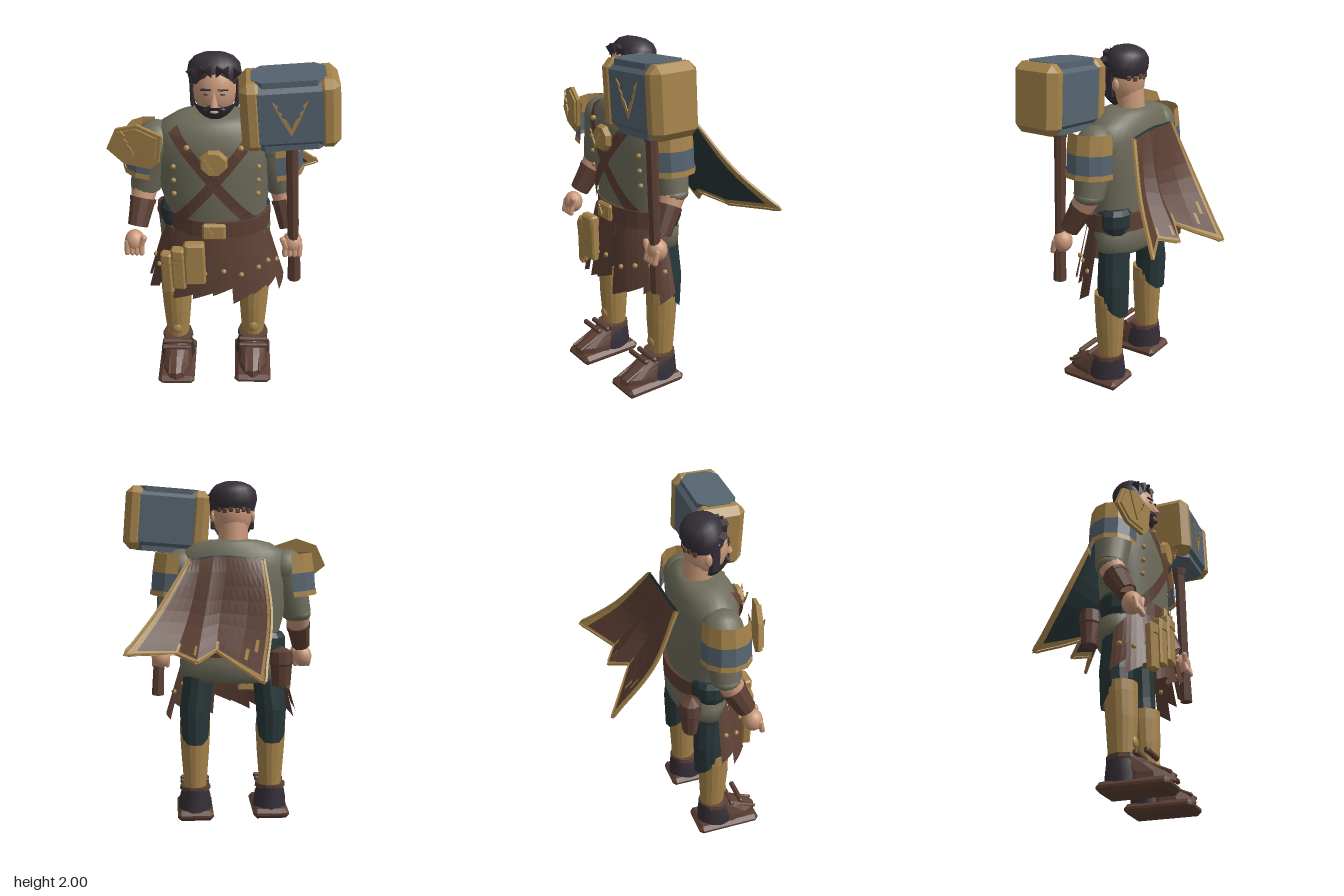
import * as THREE from 'three';
import { ConvexGeometry } from 'three/addons/geometries/ConvexGeometry.js';

const mat = (name, color, flatShading = false) => {
  const m = new THREE.MeshStandardMaterial({ color, flatShading, side: THREE.DoubleSide });
  m.name = name;
  return m;
};
const M = {
  gold: mat('gold', 0xa5834a, true), steel: mat('steel', 0x566470, true), brown: mat('leather', 0x5c3f33, true),
  olive: mat('tunic', 0x6e6c5b), hair: mat('hair', 0x352f37), teal: mat('trousers', 0x273638, true),
  skin: mat('skin', 0xc9987a),
};
const V = (a) => new THREE.Vector3(...a);
const CX = -0.04;

export function createModel() {
  const root = new THREE.Group();
  root.name = 'hammerBearer';
  const add = (name, geo, material, pos = [0, 0, 0], rot = [0, 0, 0], parent = root) => {
    const m = new THREE.Mesh(geo, material);
    m.name = name;
    m.position.set(...pos);
    m.rotation.set(...rot);
    parent.add(m);
    return m;
  };
  const ball = (name, r, material, pos, scale = [1, 1, 1], parent = root) => {
    const m = add(name, new THREE.SphereGeometry(r, 16, 10), material, pos, [0, 0, 0], parent);
    m.scale.set(...scale);
  };
  // Tapered rod from a to b
  const rod = (name, a, b, ra, rb, material, sides = 12) => {
    const d = V(b).sub(V(a));
    const m = add(name, new THREE.CylinderGeometry(rb, ra, d.length(), sides), material);
    m.position.copy(V(a).add(V(b)).multiplyScalar(0.5));
    m.quaternion.setFromUnitVectors(new THREE.Vector3(0, 1, 0), d.normalize());
  };
  // Box with every edge cut by c
  const chamferBox = (w, h, d, c) => {
    const p = [];
    for (const x of [-w / 2, w / 2]) for (const y of [-h / 2, h / 2]) for (const z of [-d / 2, d / 2]) {
      const [i, j, k] = [x, y, z].map((n) => n - Math.sign(n) * c);
      p.push(V([x, j, k]), V([i, y, k]), V([i, j, z]));
    }
    return new ConvexGeometry(p);
  };
  // Skin over elliptical sections [y, cx, cz, rx, rz], bottom to top
  const loft = (sections, n = 24) => {
    const pos = [], idx = [];
    sections.forEach(([y, cx, cz, rx, rz], i) => {
      for (let j = 0; j < n; j++) {
        const t = (j / n) * Math.PI * 2;
        pos.push(cx + rx * Math.cos(t), y, cz + rz * Math.sin(t));
        if (i < sections.length - 1) {
          const a = i * n + j, b = i * n + (j + 1) % n;
          idx.push(a, a + n, b, b, a + n, b + n);
        }
      }
    });
    const g = new THREE.BufferGeometry();
    g.setAttribute('position', new THREE.Float32BufferAttribute(pos, 3));
    g.setIndex(idx);
    g.computeVertexNormals();
    return g;
  };
  const plate = (pts, depth) => new THREE.ExtrudeGeometry(new THREE.Shape(pts.map(([x, y]) => new THREE.Vector2(x, y))), { depth, bevelEnabled: false });
  // Jagged chevron ornament
  const chevron = (s) => {
    const l = [[-1, 1], [-0.66, 0.72], [-0.74, 0.5], [-0.48, 0.3], [-0.52, 0.1], [-0.24, -0.1]];
    const r = l.map(([x, y]) => [-x, y]).reverse();
    return plate([...l, [0, -0.62], ...r, [0.5, -0.1], [0, -1], [-0.5, -0.1]].map(([x, y]) => [x * s * 0.95, y * s]), 0.008);
  };

  // Tunic
  const body = [[0.83, CX, 0.1, 0.001, 0.001], [0.84, CX, 0.1, 0.24, 0.11], [0.88, CX, 0.105, 0.31, 0.155], [0.97, CX, 0.11, 0.315, 0.168], [1.02, -0.03, 0.13, 0.275, 0.165],
    [1.1, -0.03, 0.135, 0.275, 0.175], [1.25, CX, 0.135, 0.305, 0.18], [1.4, CX, 0.135, 0.33, 0.18], [1.52, CX, 0.135, 0.335, 0.175],
    [1.6, CX, 0.13, 0.295, 0.16], [1.65, CX, 0.125, 0.215, 0.13], [1.667, CX, 0.12, 0.14, 0.095], [1.675, CX, 0.12, 0.001, 0.001]];
  add('tunic', loft(body, 32), M.olive);
  const frontZ = (x, y) => {
    const i = Math.max(0, body.findIndex((s) => s[0] > y) - 1);
    const t = (y - body[i][0]) / (body[i + 1][0] - body[i][0]);
    const [cz, rx, rz] = [2, 3, 4].map((k) => body[i][k] + (body[i + 1][k] - body[i][k]) * t);
    return cz + rz * Math.sqrt(Math.max(0, 1 - ((x - CX) / rx) ** 2));
  };

  // Crossed chest straps, medallion and studs
  for (const s of [-1, 1]) {
    const g = new THREE.PlaneGeometry(1, 0.06, 14, 1), p = g.attributes.position;
    const d = new THREE.Vector2(0.42 * s, -0.54).normalize();
    for (let i = 0; i < p.count; i++) {
      const t = p.getX(i) * 0.7, w = p.getY(i);
      const x = CX + d.x * t - d.y * w, y = 1.345 + d.y * t + d.x * w;
      p.setXYZ(i, x, y, frontZ(x, y) + 0.02 + s * 0.004);
    }
    g.computeVertexNormals();
    add('chestStrap', g, M.brown);
    const x = CX + 0.01 + s * 0.225;
    for (const y of [1.25, 1.335, 1.42]) ball('chestStud', 0.014, M.gold, [x, y, frontZ(x, y) + 0.005]);
    ball('strapStud', 0.016, M.gold, [CX + s * 0.14, 1.55, frontZ(CX + s * 0.14, 1.55) + 0.025]);
  }
  add('medallion', new THREE.CylinderGeometry(0.066, 0.078, 0.03, 8), M.gold, [CX, 1.475, 0.345], [Math.PI / 2, Math.PI / 8, 0]);
  add('medallionChevron', chevron(0.05), M.gold, [CX, 1.475, 0.385]);

  // Belt, buckle and back pouch
  add('belt', loft([[1.0, -0.015, 0.135, 0.26, 0.17], [1.0, -0.015, 0.135, 0.285, 0.195], [1.1, -0.015, 0.135, 0.285, 0.195], [1.1, -0.015, 0.135, 0.26, 0.17]], 24), M.brown);
  add('buckle', chamferBox(0.13, 0.1, 0.03, 0.012), M.gold, [CX, 1.05, 0.335]);
  add('buckleChevron', chevron(0.035), M.gold, [CX, 1.05, 0.35]);
  add('backPouch', loft([[0.82, -0.31, -0.02, 0.001, 0.001], [0.83, -0.31, -0.02, 0.054, 0.042], [0.95, -0.31, -0.02, 0.063, 0.057],
    [0.96, -0.31, -0.02, 0.07, 0.062], [1.03, -0.31, -0.02, 0.065, 0.058], [1.06, -0.31, -0.01, 0.001, 0.001]], 10), M.brown);

  // Leather skirt strips, front and sides
  const strips = 10;
  for (let k = 0; k < strips; k++) {
    const g = new THREE.PlaneGeometry(1, 1, 3, 3), p = g.attributes.position;
    const a0 = (k / (strips - 1) - 0.5) * 2.75, lift = (k % 2) * 0.014, drop = 0.36 + 0.04 * Math.sin(k * 2.3);
    const place = (u, v) => {
      const a = a0 + u * 0.34;
      return [CX + (0.275 + 0.11 * v + lift) * Math.sin(a), 1.01 - v * (drop - u * 0.06), 0.13 + (0.19 + 0.06 * v + lift) * Math.cos(a)];
    };
    for (let i = 0; i < p.count; i++) p.setXYZ(i, ...place(p.getX(i), 0.5 - p.getY(i)));
    g.computeVertexNormals();
    add('skirtStrip', g, M.brown);
    ball('skirtStud', 0.015, M.gold, place(0, 0.62));
  }

  // Hanging cases on the belt
  [[-0.145, 0.865, 0.37, 0.115, 0.27], [-0.235, 0.82, 0.355, 0.075, 0.27], [-0.3, 0.775, 0.33, 0.065, 0.27]].forEach(([x, y, z, w, h], i) => {
    add('beltCase', chamferBox(w, h, 0.05, 0.01), M.gold, [x, y, z], [0, -0.15 * i, 0.03]);
    add('caseFlap', chamferBox(w * 0.9, 0.07, 0.06, 0.01), M.gold, [x, y + h * 0.36, z], [0, -0.15 * i, 0.03]);
  });

  // Legs and boots
  for (const s of [-1, 1]) {
    const x = CX + s * 0.228, leg = new THREE.Group();
    leg.name = s < 0 ? 'rightLeg' : 'leftLeg';
    leg.position.set(x, 0, s < 0 ? 0.03 : 0);
    root.add(leg);
    const part = (n, g, m, p, r) => add(n, g, m, p, r, leg);
    const trouser = loft([[0.5, 0, 0.09, 0.07, 0.08], [0.5, 0, 0.09, 0.084, 0.09], [0.67, 0, 0.085, 0.09, 0.093], [0.84, -s * 0.02, 0.09, 0.09, 0.09],
      [0.97, -s * 0.025, 0.092, 0.085, 0.085], [1.03, -s * 0.025, 0.088, 0.105, 0.105], [1.1, -s * 0.025, 0.088, 0.105, 0.105], [1.13, -s * 0.025, 0.085, 0.085, 0.085], [1.13, -s * 0.025, 0.085, 0.001, 0.001]], 12);
    const tp = trouser.attributes.position;
    for (let i = 0; i < tp.count; i++) if (tp.getY(i) < 0.55) tp.setY(i, 0.47 + Math.max(0, tp.getZ(i) - 0.01) * 0.9);
    trouser.computeVertexNormals();
    part('trouserLeg', trouser, M.teal);
    part('greave', loft([[0.17, 0, 0.115, 0.064, 0.07], [0.4, 0, 0.115, 0.082, 0.085], [0.54, 0, 0.112, 0.09, 0.09], [0.6, 0, 0.112, 0.088, 0.09], [0.6, 0, 0.11, 0.001, 0.001]], 16), M.gold);
    ball('ankleBoss', 0.03, M.gold, [0, 0.27, 0.185], [1, 1.2, 0.6], leg);
    part('sole', chamferBox(0.215, 0.058, 0.385, 0.022), M.brown, [0, 0.029, s < 0 ? 0.2 : 0.21]);
    part('bootUpper', loft([[0.05, 0, 0.22, 0.09, 0.18], [0.09, 0, 0.22, 0.087, 0.172], [0.14, 0, 0.18, 0.078, 0.13], [0.18, 0, 0.14, 0.072, 0.095], [0.2, 0, 0.13, 0.07, 0.08]], 12), M.brown);
    part('bootHeel', loft([[0.05, 0, 0.145, 0.1, 0.122], [0.1, 0, 0.142, 0.097, 0.116], [0.15, 0, 0.135, 0.088, 0.104], [0.185, 0, 0.122, 0.077, 0.09]], 12), M.hair);
    part('bootCuff', loft([[0.17, 0, 0.12, 0.07, 0.07], [0.175, 0, 0.13, 0.092, 0.095], [0.2, 0, 0.13, 0.09, 0.095], [0.205, 0, 0.12, 0.06, 0.06]], 10), M.brown);
    for (const [y, z] of [[0.195, 0.215], [0.2, 0.275]]) part('bootStrap', chamferBox(0.175, 0.03, 0.028, 0.008), M.brown, [0, y, z]);
    for (const t of [-1, 1]) part('toeSeam', chamferBox(0.018, 0.02, 0.2, 0.006), M.brown, [t * 0.04, 0.125, 0.3], [0.42, 0, 0]);
  }

  // Arms
  for (const s of [-1, 1]) {
    const at = (x, y, z) => [-0.045 + s * x, y, z];
    const sh = at(0.305, 1.5, 0.135), el = at(0.375, 1.23, 0.14), wr = at(0.418, 1.03, 0.25), ha = at(0.435, 0.955, 0.285);
    const mid = (t) => V(el).lerp(V(wr), t).toArray();
    ball('shoulder', 0.115, M.olive, sh);
    rod('sleeve', sh, el, 0.112, 0.085, M.olive, 16);
    ball('sleeveEnd', 0.084, M.olive, el, [1, 0.6, 1]);
    rod('forearm', at(0.375, 1.25, 0.135), wr, 0.077, 0.045, M.skin, 14);
    rod('bracer', mid(0.36), mid(1.0), 0.07, 0.056, M.brown, 10);
    rod('bracerRim', mid(0.32), mid(0.42), 0.074, 0.072, M.brown, 10);
    ball('palm', 0.058, M.skin, ha, [0.95, 1.1, 0.95]);
    for (let f = 0; f < 4; f++)
      add('finger', new THREE.CapsuleGeometry(0.016, 0.06, 3, 8), M.skin, [ha[0] + (f - 1.5) * 0.026, ha[1] - 0.025, ha[2] + 0.035], [-0.25, 0, 0]);
    add('thumb', new THREE.CapsuleGeometry(0.017, 0.05, 3, 8), M.skin, [ha[0] - s * 0.045, ha[1] + 0.015, ha[2] + 0.035], [0, 0, s * 0.4]);
    // Open arm guard of stacked bands
    const guard = new THREE.Group();
    guard.name = 'armGuard';
    guard.position.set(...at(0.343, 1.455, 0.145));
    guard.rotation.z = s * 0.08;
    root.add(guard);
    for (const [y, h, r0, r1, m] of [[0.075, 0.11, 0.126, 0.134, M.gold], [-0.035, 0.11, 0.134, 0.134, M.steel], [-0.1, 0.03, 0.138, 0.14, M.gold]])
      add('guardBand', new THREE.CylinderGeometry(r0, r1, h, 6, 1, true, s > 0 ? -0.1 : Math.PI - 0.1, Math.PI + 0.2), m, [0, y, 0], [0, 0, 0], guard);
  }

  // Shoulder plate on the right arm
  const pauldron = new THREE.Group();
  pauldron.name = 'shoulderPlate';
  pauldron.position.set(-0.45, 1.55, 0.275);
  pauldron.rotation.y = -0.28;
  root.add(pauldron);
  const hex = [[-0.155, -0.04], [-0.1, 0.08], [0.02, 0.12], [0.155, 0.075], [0.135, -0.08], [0.085, -0.125], [-0.06, -0.115]];
  add('plateBase', plate(hex, 0.02), M.gold, [0, 0, 0], [0, 0, 0], pauldron);
  add('plateFace', plate(hex.map(([x, y]) => [x * 0.85, y * 0.85]), 0.01), M.gold, [0, 0, 0.02], [0, 0, 0], pauldron);
  add('plateChevron', chevron(0.08), M.gold, [0.01, 0, 0.032], [0, 0, -0.05], pauldron);

  // Head, hair and beard
  rod('neck', [CX, 1.63, 0.11], [CX, 1.8, 0.125], 0.085, 0.085, M.skin, 16);
  ball('head', 1, M.skin, [-0.037, 1.825, 0.15], [0.117, 0.162, 0.122]);
  add('hairCap', loft([[-0.015, 0, 0, 0.128, 0.106], [0.035, 0, 0, 0.14, 0.115], [0.085, 0, 0, 0.131, 0.108], [0.115, 0, 0, 0.103, 0.088], [0.133, 0, 0, 0.06, 0.05], [0.138, 0, 0, 0.001, 0.001]], 20),
    M.hair, [CX, 1.863, 0.14], [-0.22, 0, 0]);
  const beard = add('beard', new THREE.SphereGeometry(1, 18, 8, -0.15, Math.PI + 0.3, Math.PI * 0.61, Math.PI * 0.39), M.hair, [-0.037, 1.822, 0.15]);
  beard.scale.set(0.127, 0.172, 0.142);
  for (let i = 0; i < 6; i++) {
    const o = i - 2.5;
    add('foreLock', new THREE.ConeGeometry(0.028, 0.06, 5), M.hair, [CX + o * 0.043, 1.935 - 0.004 * o * o, 0.243 - 0.006 * o * o], [Math.PI - 0.2, 0, (i % 2 - 0.5) * 0.9]);
    add('napeFringe', chamferBox(0.026, 0.028, 0.016, 0.004), M.brown, [CX + Math.sin(o * 0.3) * 0.122, 1.832 + (i % 2) * 0.008, 0.15 - Math.cos(o * 0.3) * 0.118], [0, o * -0.3, 0]);
  }
  for (const s of [-1, 1]) {
    const x = -0.037 + s * 0.116;
    add('sideburn', chamferBox(0.024, 0.17, 0.05, 0.008), M.hair, [x, 1.81, 0.165], [0, 0, s * -0.03]);
    ball('ear', 0.028, M.skin, [x, 1.8, 0.13], [0.5, 1.2, 0.8]);
    add('eyebrow', chamferBox(0.055, 0.01, 0.012, 0.003), M.hair, [-0.037 + s * 0.044, 1.855, 0.264], [0, s * 0.3, s * -0.1]);
    ball('eye', 0.011, M.hair, [-0.037 + s * 0.043, 1.83, 0.265], [1.3, 0.4, 0.4]);
    add('moustache', new THREE.CapsuleGeometry(0.012, 0.042, 3, 8), M.hair, [-0.037 + s * 0.028, 1.755, 0.264], [0, 0, s * 1.1]);
  }
  add('nose', new THREE.ConeGeometry(0.024, 0.08, 6), M.skin, [-0.037, 1.81, 0.276], [-0.2, 0, 0]);
  ball('lip', 0.016, M.skin, [-0.037, 1.738, 0.276], [1.4, 0.5, 0.6]);

  // War hammer
  const hammer = new THREE.Group();
  hammer.name = 'hammer';
  hammer.position.set(0.343, 1.78, 0.298);
  hammer.rotation.z = 0.08;
  root.add(hammer);
  add('hammerCore', chamferBox(0.41, 0.36, 0.262, 0.045), M.steel, [0, 0, 0], [0, 0, 0], hammer);
  add('hammerChevron', chevron(0.095), M.gold, [0, 0, 0.128], [0, 0, 0], hammer);
  const octagon = [[-0.185, -0.06], [-0.135, -0.11], [0.135, -0.11], [0.185, -0.06], [0.185, 0.06], [0.135, 0.11], [-0.135, 0.11], [-0.185, 0.06]];
  add('hammerPlates', plate(octagon, 0.374), M.steel, [0, 0.187, 0], [Math.PI / 2, 0, 0], hammer);
  for (const s of [-1, 1]) add('hammerCap', chamferBox(0.12, 0.368, 0.275, 0.04), M.gold, [s * 0.188, 0, 0], [0, 0, 0], hammer);
  rod('hammerShaft', [0.36, 1.62, 0.3], [0.405, 0.75, 0.3], 0.033, 0.028, M.brown, 8);
  rod('shaftCollar', [0.36, 1.62, 0.3], [0.363, 1.55, 0.3], 0.045, 0.038, M.brown, 8);
  rod('shaftGrip', [0.402, 0.9, 0.3], [0.41, 0.72, 0.3], 0.033, 0.037, M.brown, 8);

  // Cape blown back, dark lining, gilt border and worn streaks
  const rows = [
    [[-0.2, 1.56, -0.06], [-0.1, 1.57, -0.075], [0, 1.58, -0.08], [0.08, 1.58, -0.085], [0.15, 1.57, -0.08], [0.22, 1.56, -0.08]],
    [[-0.23, 1.26, -0.2], [-0.1, 1.26, -0.16], [0.05, 1.27, -0.13], [0.14, 1.26, -0.19], [0.22, 1.28, -0.15], [0.39, 1.3, -0.23]],
    [[-0.17, 0.92, -0.43], [-0.03, 1.0, -0.33], [0.08, 1.07, -0.25], [0.19, 1.02, -0.35], [0.3, 1.06, -0.28], [0.57, 1.08, -0.42]],
  ];
  const capeAt = (u, v) => {
    const i = Math.min(4, Math.floor(u * 5));
    const [a, b, c] = rows.map((r) => V(r[i]).lerp(V(r[i + 1]), u * 5 - i));
    return new THREE.CatmullRomCurve3([a, b, c]).getPoint(v);
  };
  const capePatch = (name, material, u0, u1, v0, v1, off) => {
    const g = new THREE.PlaneGeometry(1, 1, u1 - u0 > 0.5 ? 20 : 2, v1 - v0 > 0.5 ? 8 : 2), p = g.attributes.position;
    for (let i = 0; i < p.count; i++) {
      const q = capeAt(u0 + (p.getX(i) + 0.5) * (u1 - u0), v0 + (0.5 - p.getY(i)) * (v1 - v0));
      p.setXYZ(i, q.x, q.y + off * 0.6, q.z + off);
    }
    g.computeVertexNormals();
    add(name, g, material);
  };
  capePatch('capeOutside', M.brown, 0, 1, 0, 1, -0.006);
  capePatch('capeLining', M.teal, 0, 1, 0, 1, 0.006);
  for (const off of [-0.01, 0.01]) {
    capePatch('capeSideBorder', M.gold, 0, 0.035, 0, 1, off);
    capePatch('capeSideBorder', M.gold, 0.965, 1, 0, 1, off);
    capePatch('capeHemBorder', M.gold, 0, 1, 0.95, 1, off);
  }
  for (const [u, v] of [[0.08, 0.7], [0.14, 0.8], [0.38, 0.85], [0.62, 0.82], [0.78, 0.86]]) capePatch('capeStreak', M.gold, u, u + 0.025, v, v + 0.1, -0.01);
  const edge = [];
  for (let i = 0; i <= 8; i++) edge.push(capeAt(0, i / 8));
  for (let i = 1; i <= 20; i++) edge.push(capeAt(i / 20, 1));
  for (let i = 7; i >= 0; i--) edge.push(capeAt(1, i / 8));
  add('capeEdge', new THREE.TubeGeometry(new THREE.CatmullRomCurve3(edge), 90, 0.011, 5), M.gold);
  return root;
}
